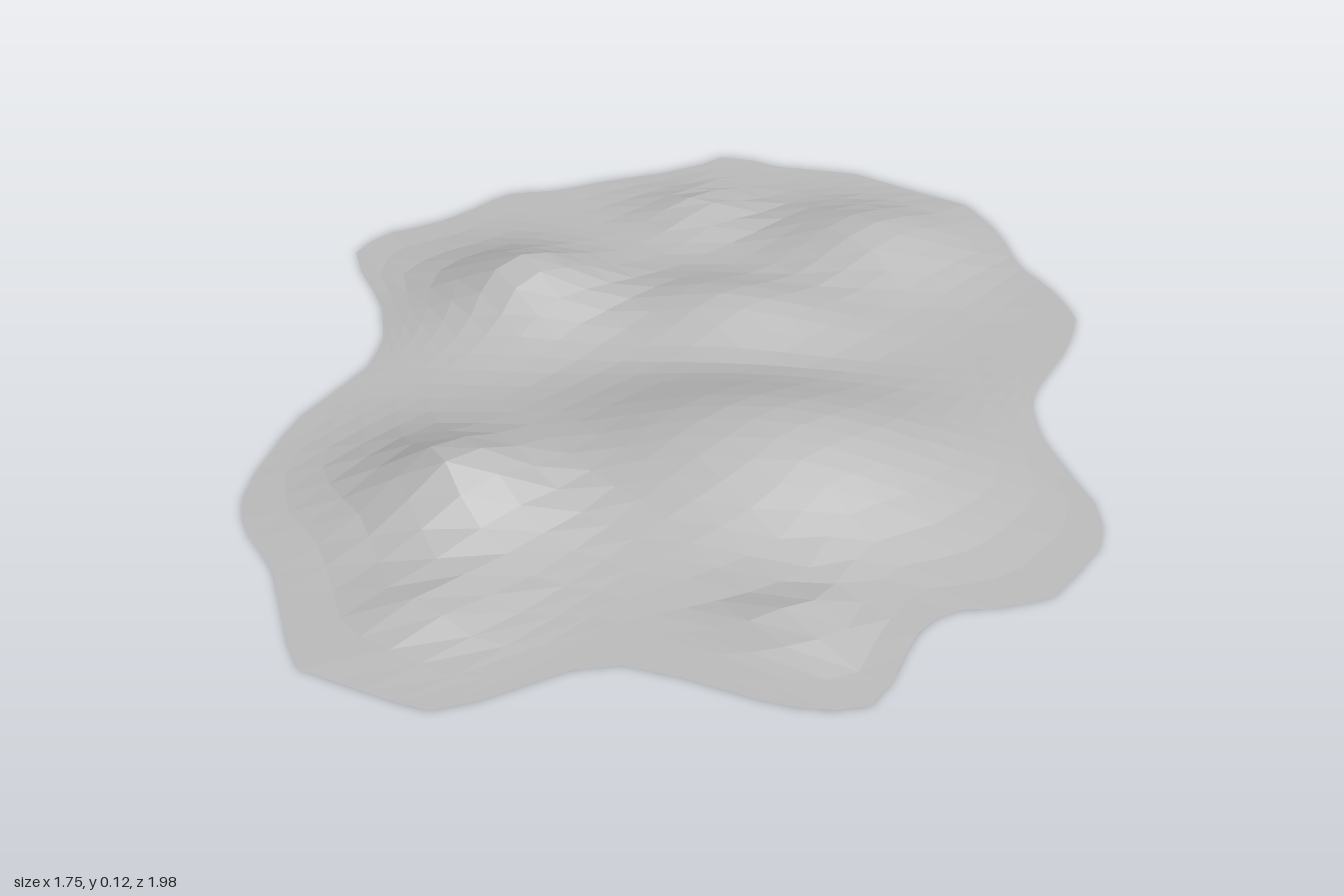
import * as THREE from 'three';

// Shoreline corners, x then z, starting at the back
const OUTLINE = [
  0.02, -1, 0.13, -0.95, 0.35, -0.93, 0.5, -0.86, 0.64, -0.8, 0.715, -0.67, 0.75, -0.54, 0.82, -0.45,
  0.875, -0.34, 0.85, -0.22, 0.75, -0.02, 0.76, 0.1, 0.815, 0.23, 0.875, 0.35, 0.865, 0.45, 0.765, 0.6,
  0.67, 0.64, 0.57, 0.655, 0.51, 0.7, 0.455, 0.83, 0.445, 0.905, 0.36, 0.93, 0.255, 0.93, 0.135, 0.895,
  0, 0.857, -0.08, 0.85, -0.17, 0.89, -0.26, 0.95, -0.36, 1, -0.42, 0.99, -0.65, 0.915, -0.76, 0.655,
  -0.85, 0.55, -0.88, 0.44, -0.835, 0.21, -0.72, 0.005, -0.705, -0.095, -0.74, -0.24, -0.86, -0.435,
  -0.81, -0.535, -0.7, -0.59, -0.625, -0.65, -0.535, -0.75, -0.405, -0.78, -0.29, -0.835, -0.08, -0.915,
];

// Hills: x, z, height, radius in x, radius in z, sharpness
const HILLS = [
  [-0.44, 0.42, 0.13, 0.2, 0.17, 1.6],
  [-0.42, 0.74, 0.05, 0.12, 0.11, 1.8],
  [0.18, 0.26, 0.12, 0.41, 0.25, 2.2],
  [0.27, 0.73, 0.047, 0.11, 0.1, 1.9],
  [-0.41, -0.3, 0.112, 0.2, 0.17, 1.7],
  [0.4, -0.6, 0.078, 0.23, 0.19, 2],
  [-0.05, -0.7, 0.045, 0.13, 0.13, 1.8],
  [0.06, -0.25, 0.07, 0.27, 0.16, 2],
];

// Distance from the centre to the shoreline in a direction
function shoreRadius(dx, dz) {
  const n = OUTLINE.length;
  for (let i = 0; i < n; i += 2) {
    const ax = OUTLINE[i], az = OUTLINE[i + 1];
    const bx = OUTLINE[(i + 2) % n], bz = OUTLINE[(i + 3) % n];
    if (dx * az - dz * ax <= 1e-9 && dx * bz - dz * bx >= -1e-9 && dx * (ax + bx) + dz * (az + bz) > 0) {
      const ex = bx - ax, ez = bz - az;
      return (ax * ez - az * ex) / (dx * ez - dz * ex);
    }
  }
  return 0.88;
}

// Blended height of all hills
function hillHeight(x, z) {
  let sum = 0;
  for (const [hx, hz, h, rx, rz, sharp] of HILLS) {
    const d = Math.hypot((x - hx) / rx, (z - hz) / rz);
    sum += (h * Math.exp(-(d ** sharp))) ** 2;
  }
  return Math.sqrt(sum);
}

export function createModel() {
  const group = new THREE.Group();
  const stone = new THREE.MeshStandardMaterial({ color: 0xbcbcbc, side: THREE.DoubleSide, flatShading: true });
  stone.name = 'pale grey stone';

  // Diagonal grid rounded to a disc, then stretched to the shoreline
  const sheet = new THREE.PlaneGeometry(2, 2, 24, 24).rotateX(-Math.PI / 2);
  const pos = sheet.attributes.position;
  for (let i = 0; i < pos.count; i++) {
    const u = pos.getX(i), v = pos.getZ(i);
    const p = u * Math.sqrt(1 - v * v / 2), q = v * Math.sqrt(1 - u * u / 2);
    const dx = (p - q) * Math.SQRT1_2, dz = (p + q) * Math.SQRT1_2;
    const rad = Math.hypot(dx, dz);
    if (rad < 1e-6) {
      pos.setXYZ(i, 0, hillHeight(0, 0), 0);
      continue;
    }
    const shore = shoreRadius(dx / rad, dz / rad);
    const stretch = 0.88 + (shore - 0.88) * rad * rad;
    const x = dx * stretch, z = dz * stretch;
    const fade = Math.max(0, 1 - rad ** 8);
    pos.setXYZ(i, x, hillHeight(x, z) * fade, z);
  }
  sheet.computeVertexNormals();

  const terrain = new THREE.Mesh(sheet, stone);
  terrain.name = 'hillyGround';
  group.add(terrain);
  return group;
}
